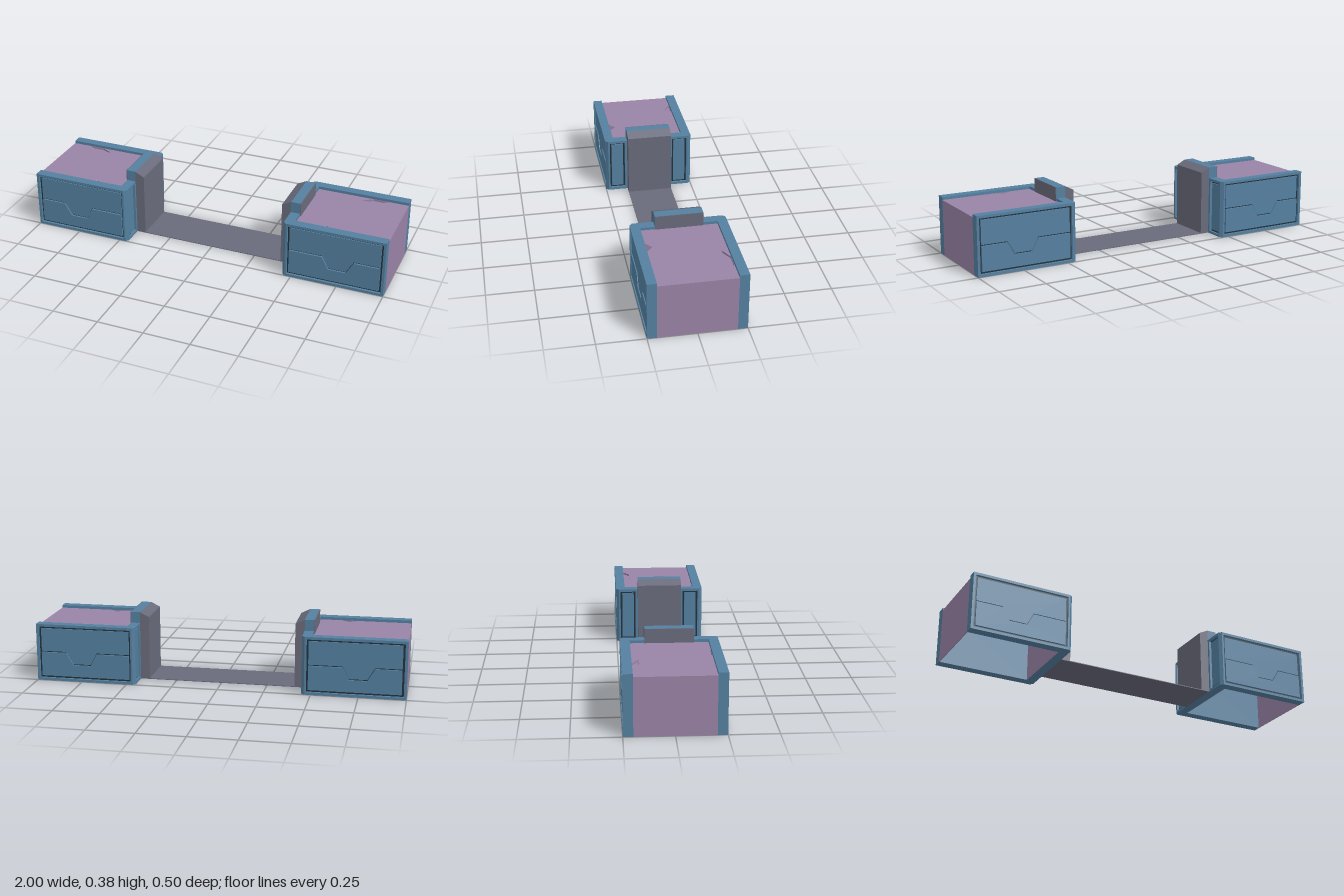
import * as THREE from 'three';

const mat = (color) => new THREE.MeshStandardMaterial({ color, flatShading: true, side: THREE.DoubleSide });
const blue = mat(0x5580a0), mauve = mat(0x9983a6), grey = mat(0x696b7b), dark = mat(0x22303a);

const rect = (x0, y0, x1, y1) => [[x0, y0], [x1, y0], [x1, y1], [x0, y1]];
const toVectors = (pts) => pts.map(([x, y]) => new THREE.Vector2(x, y));

// Flat outline with optional holes, extruded along +z from z0
function plate(name, pts, z0, depth, material, holes = []) {
  const shape = new THREE.Shape(toVectors(pts));
  holes.forEach((h) => shape.holes.push(new THREE.Path(toVectors(h))));
  const geo = new THREE.ExtrudeGeometry(shape, { depth, bevelEnabled: false });
  geo.translate(0, 0, z0);
  const mesh = new THREE.Mesh(geo, material);
  mesh.name = name;
  return mesh;
}

// Outline given in x and z, extruded downwards from y = top
function slab(name, pts, top, height, material, holes = []) {
  const mesh = plate(name, pts, 0, height, material, holes);
  mesh.geometry.rotateX(Math.PI / 2).translate(0, top, 0);
  return mesh;
}

function box(name, x0, x1, y0, y1, z0, z1, material) {
  const geo = new THREE.BoxGeometry(x1 - x0, y1 - y0, z1 - z0);
  geo.translate((x0 + x1) / 2, (y0 + y1) / 2, (z0 + z1) / 2);
  const mesh = new THREE.Mesh(geo, material);
  mesh.name = name;
  return mesh;
}

// Framed long panel split by a line with a dip; s = 1 front, -1 back
function longPanel(s) {
  const g = new THREE.Group();
  g.name = s > 0 ? 'frontPanel' : 'backPanel';
  const flip = (pts) => pts.map(([x, y]) => [s * x, y]);
  const seam = (dy) => [[0.485, 0.157 + dy], [0.665, 0.157 + dy], [0.70, 0.09 + dy],
    [0.795, 0.09 + dy], [0.835, 0.157 + dy], [0.975, 0.157 + dy]];
  g.add(plate('panelFrame', flip(rect(0.465, 0, 1, 0.315)), 0.235, 0.015, blue, [flip(rect(0.475, 0.014, 0.986, 0.301))]));
  g.add(plate('panelGap', flip(rect(0.475, 0.014, 0.986, 0.301)), 0.235, 0.001, dark));
  g.add(plate('lowerPanel', flip([[0.975, 0.025], [0.485, 0.025], ...seam(0)]), 0.235, 0.011, blue));
  g.add(plate('upperPanel', flip([[0.975, 0.291], [0.485, 0.291], ...seam(0.006)]), 0.235, 0.007, blue));
  g.rotation.y = s > 0 ? 0 : Math.PI;
  return g;
}

// Inner wall facing with a narrow framed panel on each side of the bracket
function innerPanels() {
  const g = new THREE.Group();
  g.name = 'innerPanels';
  const slots = [rect(0.138, 0.014, 0.225, 0.301), rect(-0.225, 0.014, -0.138, 0.301)];
  g.add(plate('innerFrame', rect(-0.235, 0, 0.235, 0.315), -0.465, 0.015, blue, slots));
  slots.forEach((slot) => {
    const [a, , c] = slot;
    g.add(plate('innerGap', slot, -0.465, 0.001, dark));
    g.add(plate('innerPanel', rect(a[0] + 0.01, a[1] + 0.01, c[0] - 0.01, c[1] - 0.01), -0.465, 0.008, blue));
  });
  g.rotation.y = -Math.PI / 2;
  return g;
}

// One end block, built on +x; f flips the lid dents in z
function endBlock(name, f) {
  const g = new THREE.Group();
  g.name = name;

  // U-shaped wall with chamfered inner corners
  g.add(slab('wall', [[1, 0.235], [0.465, 0.235], [0.465, -0.235], [1, -0.235],
    [1, -0.2], [0.5, -0.2], [0.5, 0.2], [1, 0.2]], 0.315, 0.315, blue));
  for (const s of [1, -1]) {
    g.add(slab('wallCorner', [[0.465, 0.25 * s], [0.45, 0.235 * s], [0.465, 0.235 * s]], 0.315, 0.315, blue));
    g.add(longPanel(s));
  }
  g.add(innerPanels());

  // Lid sheet with a shallow dent and a pointed dent, folded down at both ends
  const skew = [[0.75, -0.198 * f], [0.81, -0.198 * f], [0.89, -0.165 * f], [0.83, -0.165 * f]];
  skew[0][0] = 0.81; skew[1][0] = 0.895; skew[2][0] = 0.84; skew[3][0] = 0.75;
  const tri = [[0.62, 0.199 * f], [0.70, 0.199 * f], [0.66, 0.165 * f]];
  g.add(slab('lid', rect(0.5, -0.2, 1, 0.2), 0.3, 0.01, mauve, [skew, tri]));
  g.add(slab('dentFloor', skew, 0.29, 0.004, mauve));
  const spike = new THREE.BufferGeometry();
  const A = [0.62, 0.3, 0.199 * f], B = [0.70, 0.3, 0.199 * f], C = [0.66, 0.3, 0.165 * f], D = [0.66, 0.245, 0.199 * f];
  const faces = f > 0 ? [A, D, C, C, D, B] : [A, C, D, C, B, D];
  spike.setAttribute('position', new THREE.Float32BufferAttribute(faces.flat(), 3));
  spike.computeVertexNormals();
  const spikeMesh = new THREE.Mesh(spike, mauve);
  spikeMesh.name = 'pointedDent';
  g.add(spikeMesh);
  g.add(box('outerEnd', 0.996, 1, 0, 0.3, -0.2, 0.2, mauve));
  g.add(box('innerEnd', 0.5, 0.503, 0, 0.3, -0.2, 0.2, mauve));

  // Upright bracket with sloped top, hooked over the inner wall
  g.add(plate('bracket', [[0.4, 0], [0.45, 0], [0.45, 0.375], [0.4, 0.35]], -0.125, 0.25, grey));
  g.add(box('bracketCap', 0.45, 0.5, 0.3, 0.375, -0.125, 0.125, blue));
  g.add(box('capBack', 0.5, 0.504, 0.3, 0.375, -0.125, 0.125, grey));
  return g;
}

export function createModel() {
  const model = new THREE.Group();
  model.name = 'twinBoxes';
  model.add(endBlock('leftBlock', 1));
  const right = endBlock('rightBlock', -1);
  right.rotation.y = Math.PI;
  model.add(right);
  model.add(box('connectingStrip', -0.4, 0.4, 0, 0.004, -0.125, 0.125, grey));
  return model;
}
